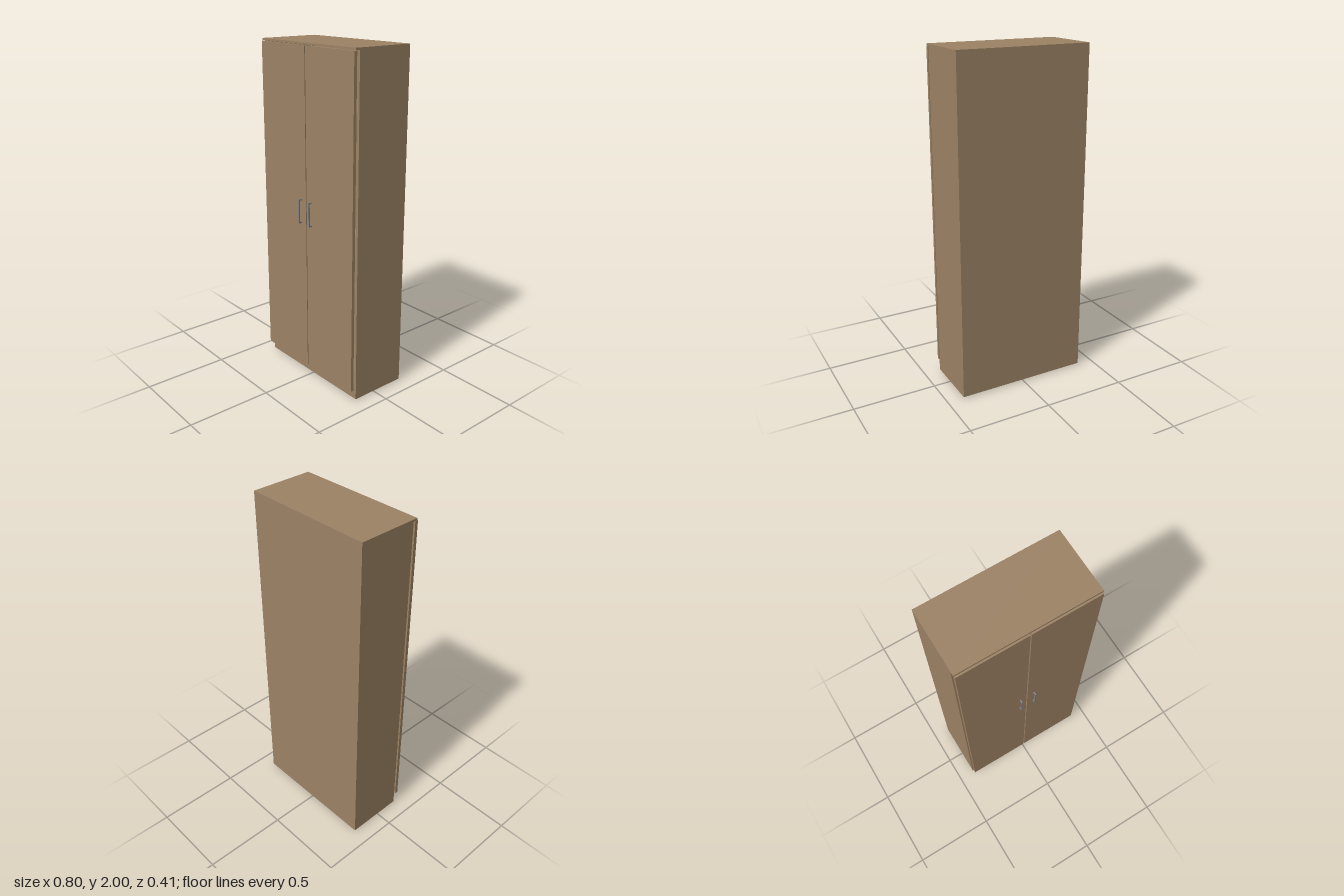
import * as THREE from 'three';

const wood = new THREE.MeshStandardMaterial({ color: 0x9c8265 });
const metal = new THREE.MeshStandardMaterial({ color: 0x808080 });
const dark = new THREE.MeshStandardMaterial({ color: 0x1a1a1a });

// Box given by its min and max on each axis
function box(name, [x0, x1], [y0, y1], [z0, z1], material = wood) {
  const mesh = new THREE.Mesh(new THREE.BoxGeometry(x1 - x0, y1 - y0, z1 - z0), material);
  mesh.position.set((x0 + x1) / 2, (y0 + y1) / 2, (z0 + z1) / 2);
  mesh.name = name;
  return mesh;
}

// Range on one side of the x axis, mirrored for side = -1
const mirror = (side, a, b) => (side > 0 ? [a, b] : [-b, -a]);

export function createModel() {
  const model = new THREE.Group();
  model.name = 'wardrobe';

  // Carcass: top, back, floor, plinth and shelves
  const front = 0.147, back = -0.204, base = 0.008, under = 1.988;
  model.add(
    box('topPanel', [-0.4, 0.4], [under, 2], [back, 0.173]),
    box('backPanel', [-0.385, 0.385], [base, under], [back, back + 0.01]),
    box('floorPanel', [-0.385, 0.385], [0.055, 0.07], [back + 0.01, front]),
    box('plinth', [-0.385, 0.385], [base, 0.055], [front - 0.015, front]),
    box('basePlate', [-0.37, 0.37], [0, 0.055], [-0.19, 0.131], dark)
  );
  for (const y of [0.5, 0.98, 1.65]) {
    model.add(box('shelf', [-0.385, 0.385], [y, y + 0.015], [back + 0.01, 0.12]));
  }

  for (const side of [1, -1]) {
    const prefix = side > 0 ? 'left' : 'right';
    model.add(
      box(prefix + 'SidePanel', mirror(side, 0.385, 0.4), [base, under], [back, front]),
      box(prefix + 'Door', mirror(side, 0.003, 0.397), [0.07, 1.985], [0.163, 0.182])
    );

    // Bar handle on two short posts
    const handle = new THREE.Group();
    handle.name = prefix + 'Handle';
    const hx = mirror(side, 0.041, 0.049);
    handle.add(box('handleBar', hx, [0.98, 1.125], [0.196, 0.204], metal));
    for (const y of [0.98, 1.117]) {
      handle.add(box('handlePost', hx, [y, y + 0.008], [0.182, 0.196], metal));
    }
    model.add(handle);
  }
  return model;
}
